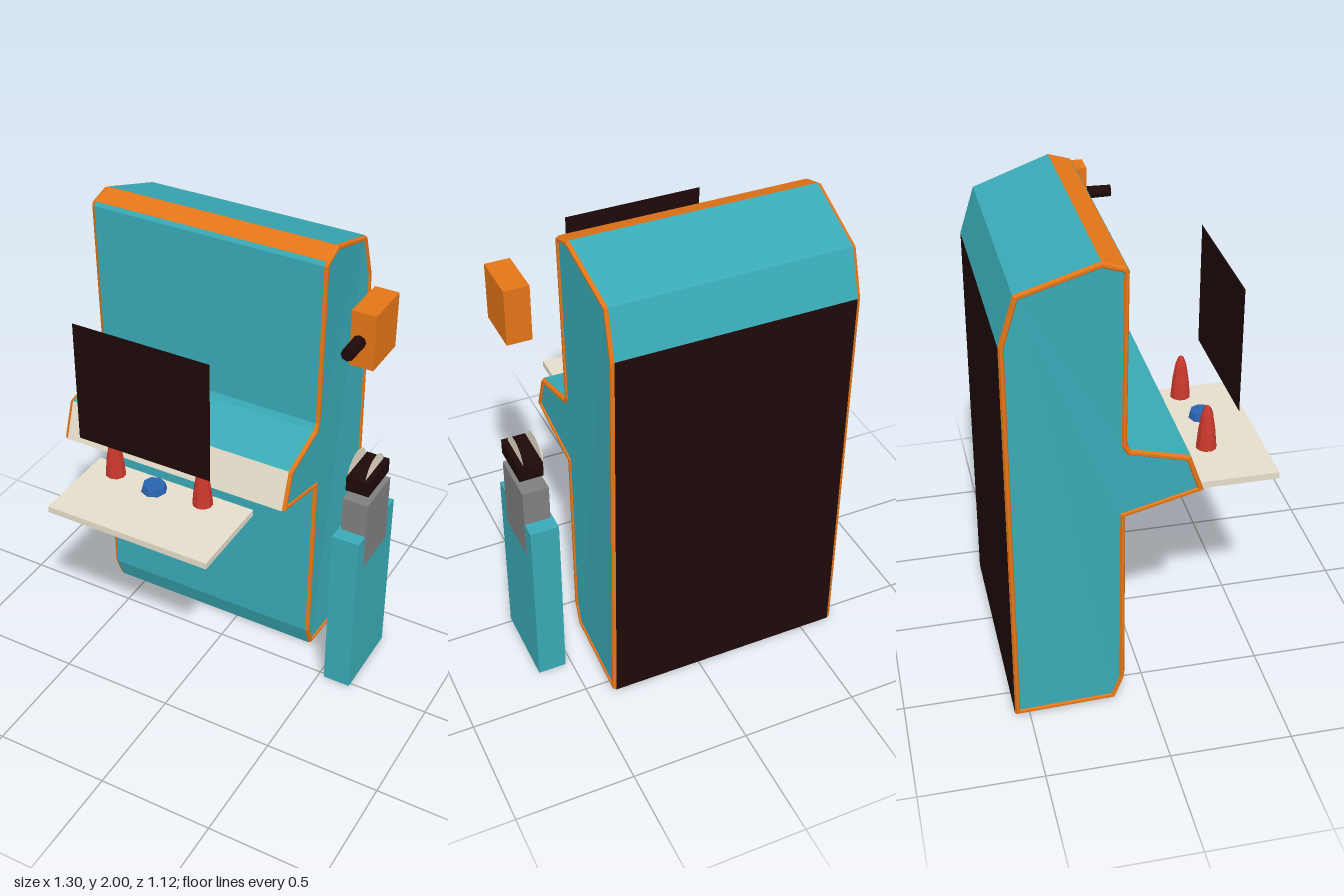
import * as THREE from 'three';

const mat = (name, color, side = THREE.FrontSide) => {
  const m = new THREE.MeshStandardMaterial({ color, side });
  m.name = name;
  return m;
};

export function createModel() {
  const teal = mat('teal', 0x39aab6);
  const orange = mat('orange', 0xe37518);
  const black = mat('black', 0x1e0908, THREE.DoubleSide);
  const cream = mat('cream', 0xe5ddcb, THREE.DoubleSide);
  const grey = mat('grey', 0x7f7f7f);
  const red = mat('red', 0xca382d);
  const blue = mat('blue', 0x2962ad);
  for (const m of [red, blue, black]) m.flatShading = true;

  const model = new THREE.Group();
  model.name = 'arcadeCabinet';
  const add = (name, geometry, material, parent = model) => {
    const mesh = new THREE.Mesh(geometry, material);
    mesh.name = name;
    parent.add(mesh);
    return mesh;
  };
  // Box given by its low and high corners
  const box = (name, lo, hi, material) => {
    const mesh = add(name, new THREE.BoxGeometry(hi[0] - lo[0], hi[1] - lo[1], hi[2] - lo[2]), material);
    mesh.position.set((lo[0] + hi[0]) / 2, (lo[1] + hi[1]) / 2, (lo[2] + hi[2]) / 2);
    return mesh;
  };

  // Cabinet side profile: z, y, outer half width, and the panel that starts at this corner
  const profile = [
    [-0.14, 0.005, 0.507, 'kickPlate', teal],
    [-0.10, 0.11, 0.508, 'lowerFront', teal],
    [-0.10, 0.915, 0.514, 'consoleUnderside', cream],
    [0.205, 1.0, 0.523, 'consoleFront', cream],
    [0.15, 1.16, 0.522, 'consoleTop', teal],
    [-0.08, 1.215, 0.515, 'consoleCove', teal],
    [-0.095, 1.24, 0.515, 'upperFront', teal],
    [-0.09, 1.955, 0.524, 'headerLip', teal],
    [-0.10, 1.972, 0.525, 'headerTrim', orange],
    [-0.19, 2.0, 0.522, 'roof', teal],
    [-0.50, 1.895, 0.504, 'rearSlope', teal],
    [-0.56, 1.70, 0.508, 'backPanel', black],
    [-0.56, 0.005, 0.522, 'bottomPanel', black],
  ];
  const n = profile.length;
  const middle = -0.123;
  const points = profile.map(([z, y]) => new THREE.Vector2(z, y));
  const at = (list, i) => list[(i + n) % n];
  const normal = (a, b) => new THREE.Vector2(b.y - a.y, a.x - b.x).normalize();
  // Mitred inset of the profile
  const inset = (distance) => points.map((p, i) => {
    const a = normal(at(points, i - 1), p);
    const b = normal(p, at(points, i + 1));
    return p.clone().addScaledVector(a.clone().add(b), -distance / (1 + a.dot(b)));
  });
  const surface = (corners) => {
    const g = new THREE.BufferGeometry();
    g.setAttribute('position', new THREE.Float32BufferAttribute(corners.flat(), 3));
    g.computeVertexNormals();
    return g;
  };
  const quad = (a, b, c, d) => [a, b, c, a, c, d];
  // Loop of 3D points on one side: profile inset by distance, set back from the outer width
  const loop = (side, distance, setBack) => inset(distance)
    .map((p, i) => [middle + side * (profile[i][2] - setBack), p.y, p.x]);

  const cabinet = new THREE.Group();
  cabinet.name = 'cabinet';
  model.add(cabinet);

  // Panels across the cabinet
  const left = loop(1, 0, 0.014);
  const right = loop(-1, 0, 0.014);
  profile.forEach(([, , , name, material], i) => {
    const corners = quad(right[i], left[i], at(left, i + 1), at(right, i + 1));
    add(name, surface(corners), material, cabinet);
  });

  // Raised edge trim and recessed side panels
  for (const s of [1, -1]) {
    const rings = [loop(s, 0, 0.014), loop(s, 0.006, 0), loop(s, 0.016, 0), loop(s, 0.021, 0.007)];
    const trim = [];
    for (let r = 0; r < 3; r++) {
      for (let i = 0; i < n; i++) {
        const corners = quad(rings[r][i], rings[r + 1][i], at(rings[r + 1], i + 1), at(rings[r], i + 1));
        trim.push(...(s > 0 ? corners : corners.reverse()));
      }
    }
    const label = s > 0 ? 'left' : 'right';
    add(label + 'EdgeTrim', surface(trim), orange, cabinet);
    const panel = THREE.ShapeUtils.triangulateShape(inset(0.021), [])
      .flatMap(([a, b, c]) => (s > 0 ? [c, b, a] : [a, b, c]))
      .map((i) => rings[3][i]);
    add(label + 'Side', surface(panel), teal, cabinet);
  }

  // Screen and control tray in front of the cabinet
  const screen = add('screen', new THREE.PlaneGeometry(0.6, 0.53), black);
  screen.position.set(-0.127, 1.463, 0.4);
  box('controlTray', [-0.492, 0.903, 0.175], [0.243, 0.932, 0.56], cream);

  // Pointed control sticks
  const stickProfile = [[0, 0], [0.043, 0], [0.036, 0.075], [0.024, 0.15], [0.012, 0.185], [0, 0.195]]
    .map(([r, y]) => new THREE.Vector2(r, y));
  for (const x of [-0.33, 0.081]) {
    const stick = add('controlStick', new THREE.LatheGeometry(stickProfile, 10), red);
    stick.position.set(x, 0.99, 0.3);
  }
  const button = add('button', new THREE.CylinderGeometry(0.046, 0.054, 0.03, 8), blue);
  button.position.set(-0.125, 1.02, 0.335);

  // Free-standing figure beside the cabinet
  box('figureLegs', [0.526, 0, -0.335], [0.647, 0.795, 0.018], teal);
  box('figureTorso', [0.537, 0.635, -0.27], [0.648, 0.953, -0.045], grey);
  box('visor', [0.547, 1.0, -0.245], [0.648, 1.066, -0.045], black);
  for (const x of [0.546, 0.625]) {
    const head = add('headDisc', new THREE.CircleGeometry(0.094, 24), cream);
    head.rotation.y = Math.PI / 2;
    head.position.set(x, 1.037, -0.147);
  }
  const knob = add('visorKnob', new THREE.CylinderGeometry(0.033, 0.033, 0.022, 12), cream);
  knob.rotation.z = Math.PI / 2;
  knob.position.set(0.536, 1.033, -0.152);
  const stud = add('neckStud', new THREE.ConeGeometry(0.018, 0.035, 8), red);
  stud.position.set(0.583, 0.97, -0.15);

  // Floating blaster
  box('blasterBody', [0.547, 1.625, -0.205], [0.648, 1.86, 0], orange);
  const barrel = add('blasterBarrel', new THREE.CylinderGeometry(0.026, 0.028, 0.11, 8), black);
  barrel.rotation.x = Math.PI / 2;
  barrel.position.set(0.585, 1.735, 0.053);

  return model;
}
